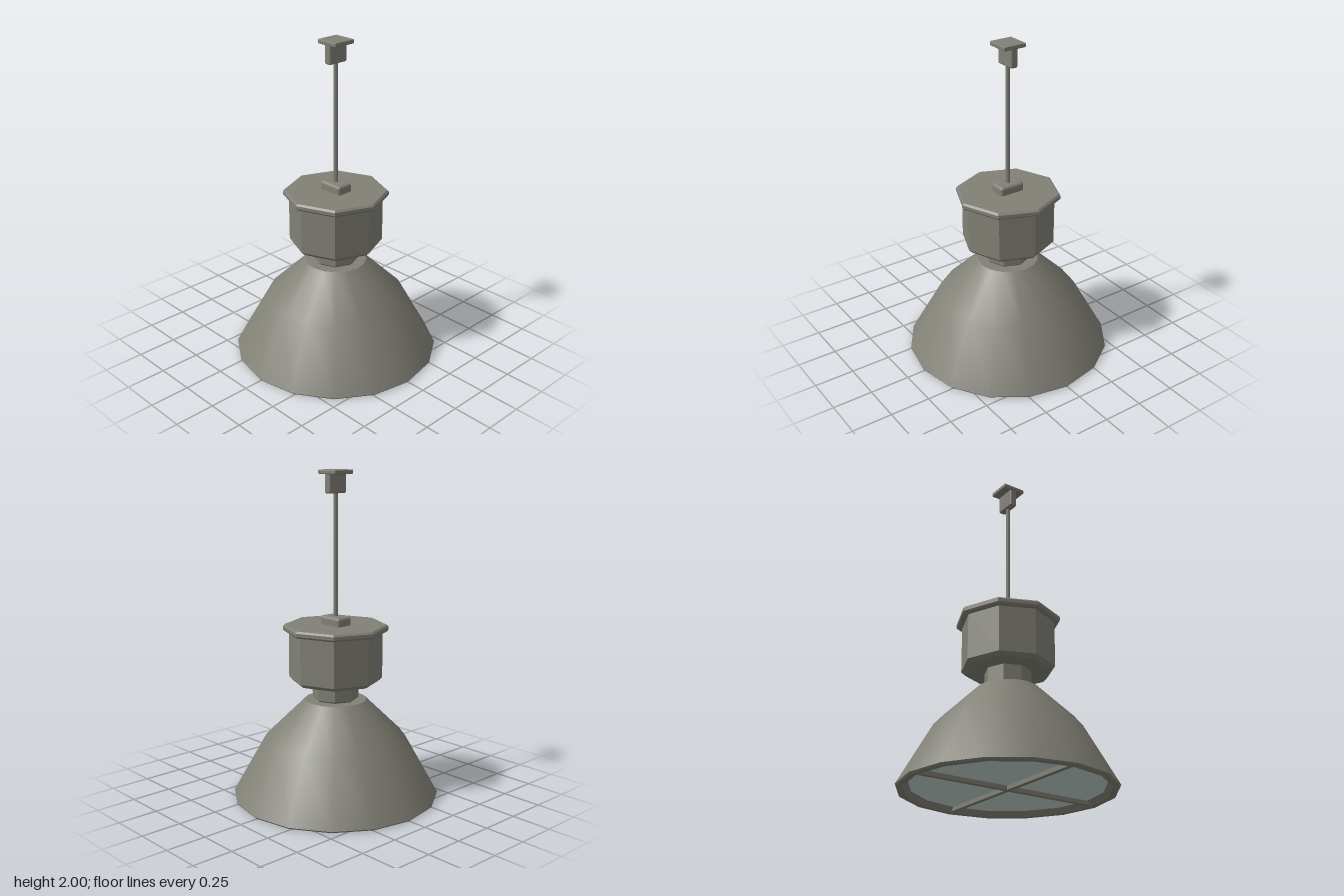
import * as THREE from 'three';
import { RoundedBoxGeometry } from 'three/addons/geometries/RoundedBoxGeometry.js';

export function createModel() {
  const group = new THREE.Group();
  group.name = 'pendantLamp';

  const metal = new THREE.MeshStandardMaterial({ color: 0x828177 });
  metal.name = 'warm grey metal';
  const glass = new THREE.MeshStandardMaterial({ color: 0xc1d4cf });
  glass.name = 'pale blue glass';

  function add(name, geometry, material = metal, y = 0) {
    const mesh = new THREE.Mesh(geometry, material);
    mesh.name = name;
    mesh.position.y = y;
    group.add(mesh);
    return mesh;
  }

  // Turned profile of [radius, height] points, running from the underside up
  function turned(profile, sides, smooth = false) {
    const lathe = new THREE.LatheGeometry(profile.map(([r, y]) => new THREE.Vector2(r, y)), sides);
    if (smooth) return lathe;
    const flat = lathe.toNonIndexed();
    flat.computeVertexNormals();
    return flat;
  }

  // Box with softened edges between two heights
  function block(name, w, y0, y1, d, bevel) {
    add(name, new RoundedBoxGeometry(w, y1 - y0, d, 2, bevel), metal, (y0 + y1) / 2);
  }

  // Shade: smooth sixteen-sided bell with flat top and recessed lower lip
  add('shade', turned([[0.637, 0.009], [0.435, 0.37], [0.19, 0.61]], 16, true));
  add('shadeTop', turned([[0.19, 0.61], [0, 0.61]], 16));
  add('shadeLip', turned([[0.56, 0.035], [0.592, 0], [0.63, 0], [0.637, 0.009]], 16));
  add('lens', turned([[0, 0.03], [0.57, 0.03]], 16), glass);

  // Crossed guard bars under the lens
  for (const [name, angle] of [['guardBarAcross', 0], ['guardBarDeep', Math.PI / 2]]) {
    const bar = add(name, new THREE.BoxGeometry(1.18, 0.026, 0.03), metal, 0.019);
    bar.rotation.y = angle;
  }

  // Octagonal neck, housing and lid
  add('neck', turned([[0, 0.612], [0.13, 0.612], [0.141, 0.622], [0.141, 0.735]], 8));
  add('housing', turned([[0, 0.725], [0.262, 0.725], [0.285, 0.747], [0.285, 1.04]], 8));
  add('lid', turned([
    [0, 1.033], [0.31, 1.033], [0.321, 1.044], [0.321, 1.064], [0.31, 1.075], [0, 1.075],
  ], 8));

  // Suspension: lower mount, rod, ceiling block and ceiling plate
  block('rodMount', 0.168, 1.05, 1.128, 0.11, 0.018);
  add('rod', new THREE.CylinderGeometry(0.013, 0.013, 0.78, 8), metal, 1.5);
  block('ceilingBlock', 0.046, 1.862, 1.985, 0.135, 0.01);
  block('ceilingPlate', 0.148, 1.974, 2, 0.148, 0.006);

  return group;
}
